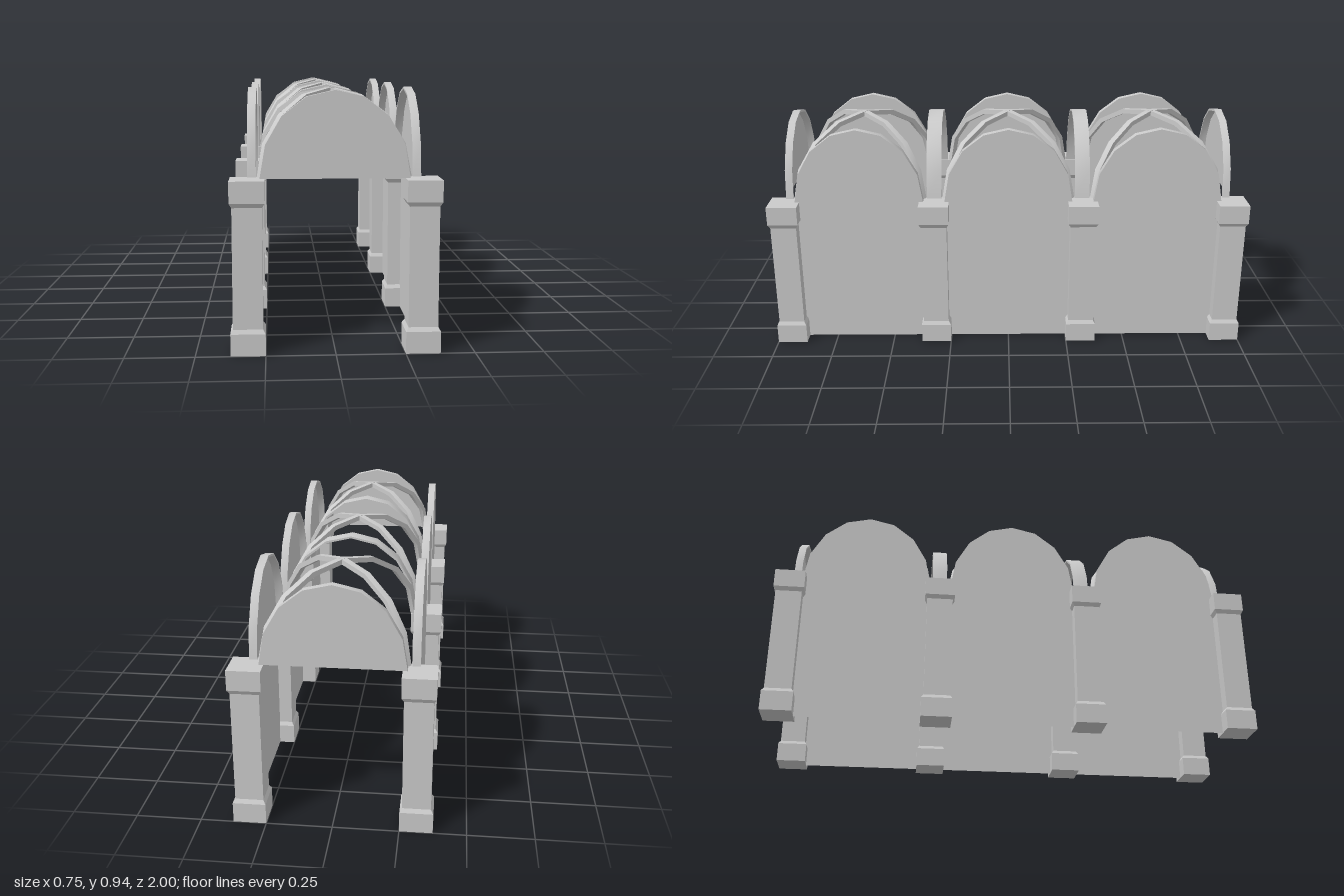
import * as THREE from 'three';
import { toCreasedNormals } from 'three/addons/utils/BufferGeometryUtils.js';

const BAY = 0.625;      // pillar spacing in both directions
const SPRING = 0.625;   // height where the arches start
const RISE = 0.3125;    // height of the arches
const HALF = 0.268;     // half span of the arches
const SEGMENTS = 8;

// Points along a half ellipse from right to left, standing on the spring line
function archPoints(a, b) {
  return Array.from({ length: SEGMENTS + 1 }, (_, i) => {
    const t = (i / SEGMENTS) * Math.PI;
    return new THREE.Vector2(a * Math.cos(t), SPRING + b * Math.sin(t));
  });
}

// Arched band with smooth curves and sharp edges, centred on its depth
function band(half, thickness, depth) {
  const inner = archPoints(half - thickness, RISE - thickness).reverse();
  const shape = new THREE.Shape([...archPoints(half, RISE), ...inner]);
  const geometry = new THREE.ExtrudeGeometry(shape, { depth, bevelEnabled: false });
  geometry.translate(0, 0, -depth / 2);
  return toCreasedNormals(geometry, 0.55);
}

// Square pillar with a chamfered base and capital
function pillarGeometry() {
  const profile = [
    [0, 0], [0.0625, 0], [0.0625, 0.08], [0.0535, 0.095],
    [0.0535, 0.531], [0.0625, 0.547], [0.0625, SPRING], [0, SPRING],
  ].map(([r, y]) => new THREE.Vector2(r * Math.SQRT2, y));
  return toCreasedNormals(new THREE.LatheGeometry(profile, 4, Math.PI / 4), 0.1);
}

export function createModel() {
  const group = new THREE.Group();
  const stone = new THREE.MeshStandardMaterial({ color: 0xcacaca, side: THREE.DoubleSide });
  stone.name = 'stone grey';

  function add(name, geometry, x, z, turn = 0) {
    const mesh = new THREE.Mesh(geometry, stone);
    mesh.name = name;
    mesh.position.set(x, 0, z);
    mesh.rotation.y = turn;
    group.add(mesh);
  }

  const pillar = pillarGeometry();
  const arch = archPoints(HALF, RISE);
  const wallSheet = new THREE.ShapeGeometry(new THREE.Shape([
    new THREE.Vector2(-HALF, 0), new THREE.Vector2(HALF, 0), ...arch,
  ]));
  const endSheet = new THREE.ShapeGeometry(new THREE.Shape(arch));
  const edgeArch = band(HALF, 0.008, 0.031);
  const crossArch = band(HALF, 0.008, 0.0625);
  const diagonalRib = band(0.27 * Math.SQRT2, 0.02, 0.025);

  // Two rows of four pillars
  for (const x of [-BAY / 2, BAY / 2]) {
    for (let i = 0; i < 4; i++) add('pillar', pillar, x, (i - 1.5) * BAY);
  }

  // Three bays: thin arched walls with an inner rim at the sides, crossing ribs overhead
  for (const z of [-BAY, 0, BAY]) {
    for (const side of [-1, 1]) {
      add('sideWall', wallSheet, side * 0.3125, z, side * Math.PI / 2);
      add('sideArch', edgeArch, side * 0.297, z, Math.PI / 2);
      add('diagonalRib', diagonalRib, 0, z, side * Math.PI / 4);
    }
  }

  // Open arches between bays, filled arches at the ends
  for (const side of [-1, 1]) {
    add('crossArch', crossArch, 0, side * BAY / 2);
    add('endPanel', endSheet, 0, side * 0.9375, side > 0 ? 0 : Math.PI);
    add('endArch', edgeArch, 0, side * 0.922);
  }
  return group;
}
